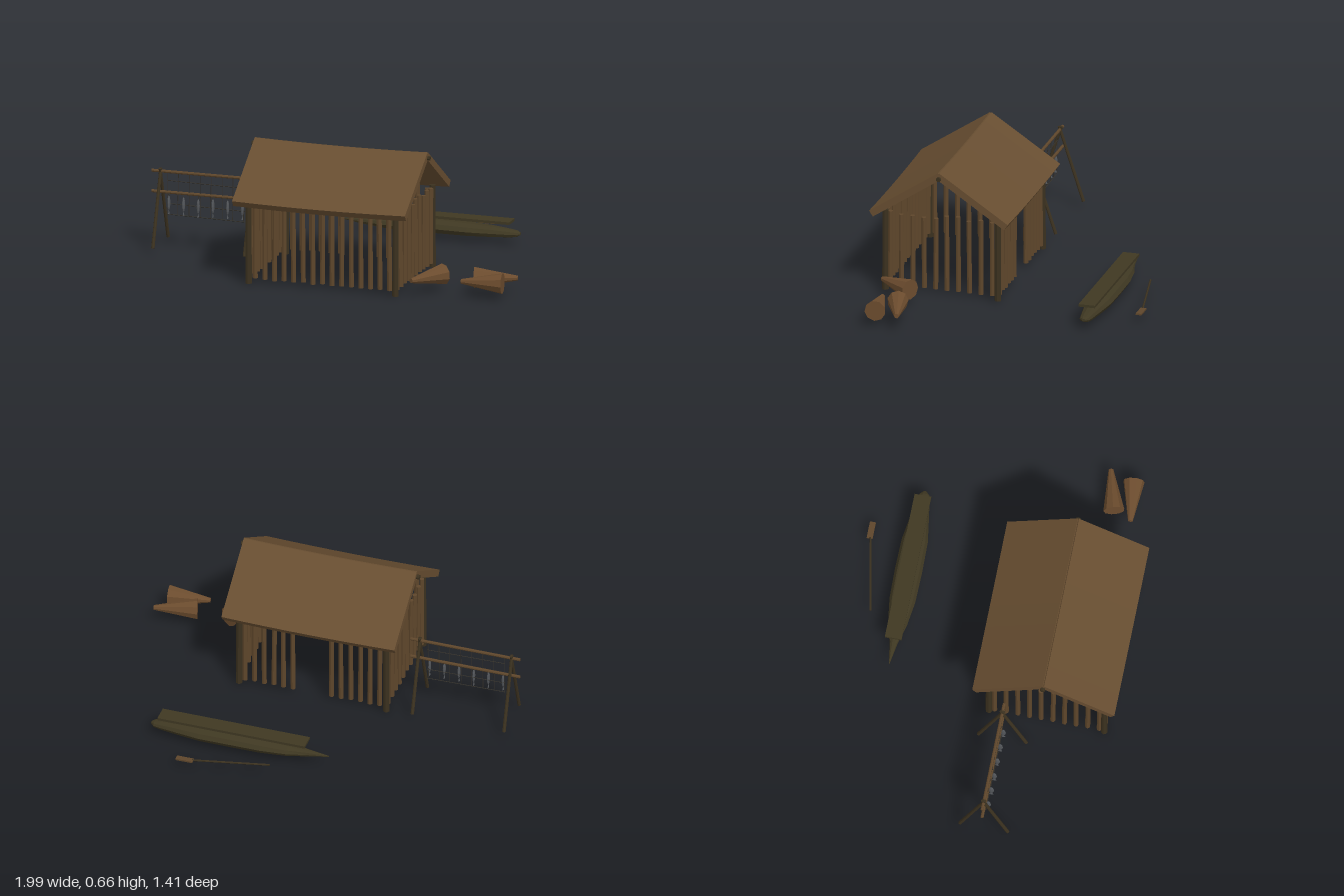
import * as THREE from 'three';

const mat = (name, color) => {
  const m = new THREE.MeshStandardMaterial({ color, flatShading: true });
  m.name = name;
  return m;
};

export function createModel() {
  const model = new THREE.Group();
  model.name = 'fishingHut';
  const thatch = mat('roofBrown', 0x684e31);
  const wood = mat('poleBrown', 0x5e462b);
  const dark = mat('darkWood', 0x3b311f);
  const hullMat = mat('oliveWood', 0x3f3822);
  const wicker = mat('wickerBrown', 0x6c4c2e);
  const cord = mat('netCord', 0x33302a);
  const grey = mat('fishGrey', 0x53565a);

  let seed = 7;
  const jitter = (a) => {
    seed = (seed * 16807) % 2147483647;
    return (seed / 2147483647 - 0.5) * 2 * a;
  };
  const group = (name, parent = model) => {
    const g = new THREE.Group();
    g.name = name;
    parent.add(g);
    return g;
  };
  const add = (parent, name, geo, material) => {
    const m = new THREE.Mesh(geo, material);
    m.name = name;
    parent.add(m);
    return m;
  };
  // Round bar from point a (radius ra) to point b (radius rb)
  const bar = (parent, name, a, b, ra, rb, material, sides = 8) => {
    const p = new THREE.Vector3(...a), q = new THREE.Vector3(...b);
    const d = q.clone().sub(p);
    const m = add(parent, name, new THREE.CylinderGeometry(rb, ra, d.length(), sides), material);
    m.position.copy(p).add(q).multiplyScalar(0.5);
    m.quaternion.setFromUnitVectors(new THREE.Vector3(0, 1, 0), d.normalize());
    return m;
  };

  // Hut: corner posts and walls of separate poles, with a doorway at the back
  const hut = group('hut');
  const X0 = -0.335, X1 = 0.43, Z0 = 0.06, Z1 = 0.64;
  for (const x of [X0, X1])
    for (const z of [Z0, Z1])
      bar(hut, 'cornerPost', [x, 0, z], [x, 0.42, z], 0.017, 0.016, dark);
  const pole = (name, x, z) => {
    const top = 0.41 + jitter(0.012);
    bar(hut, name, [x, 0.027 + jitter(0.004), z],
      [x + jitter(0.004), top, z + jitter(0.004)], 0.013, 0.012, wood);
  };
  for (let i = 0; i < 15; i++) {
    const x = -0.3 + 0.05 * i;
    pole('frontWallPole', x, Z1);
    if (i < 6 || i > 8) pole('backWallPole', x, Z0);
  }
  for (let i = 0; i < 10; i++) {
    const z = 0.615 - 0.0585 * i;
    pole('leftWallPole', X1, z);
    pole('rightWallPole', X0, z);
  }

  // Roof: two sloping slabs that sag slightly towards the middle
  const roof = group('roof');
  for (const s of [1, -1]) {
    const geo = new THREE.BoxGeometry(0.9, 0.035, 0.425, 8, 1, 1);
    geo.rotateX(s * 0.585);
    geo.translate(0.05, 0.533, 0.346 + s * 0.171);
    const p = geo.attributes.position;
    for (let i = 0; i < p.count; i++) {
      const t = (p.getX(i) - 0.05) / 0.45;
      p.setY(i, p.getY(i) - 0.007 * (1 - t * t));
    }
    geo.computeVertexNormals();
    add(roof, s > 0 ? 'frontRoofSlope' : 'backRoofSlope', geo, thatch);
  }
  bar(roof, 'ridgePole', [-0.415, 0.635, 0.344], [0.512, 0.635, 0.344], 0.012, 0.012, dark);

  // Drying rack: two A-frames, two rails, a net and hanging fish
  const rack = group('dryingRack');
  for (const x of [-0.955, -0.478])
    for (const s of [1, -1])
      bar(rack, 'rackLeg', [x, 0.028, 0.155 + s * 0.12],
        [x, 0.41, 0.155 - s * 0.006], 0.009, 0.008, dark);
  for (const y of [0.395, 0.29])
    bar(rack, 'rackRail', [-1, y, 0.155], [-0.43, y, 0.155], 0.008, 0.008, wood);
  const net = group('net', rack);
  for (let i = 0; i < 8; i++) {
    const x = -0.917 + 0.0568 * i;
    bar(net, 'netVertical', [x, 0.39, 0.157], [x + jitter(0.004), 0.175, 0.16], 0.0018, 0.0018, cord, 4);
  }
  for (const y of [0.348, 0.23, 0.175])
    bar(net, 'netHorizontal', [-0.92, y + 0.003, 0.158], [-0.515, y - 0.004, 0.158], 0.0022, 0.0022, cord, 4);
  for (let i = 0; i < 6; i++) {
    const x = -0.907 + 0.0765 * i, y = 0.237 + jitter(0.005);
    const fish = group('fish', rack);
    const body = add(fish, 'fishBody', new THREE.SphereGeometry(1, 8, 6), grey);
    body.scale.set(0.007, 0.038, 0.014);
    body.position.set(x, y, 0.168);
    const tail = add(fish, 'fishTail', new THREE.ConeGeometry(0.012, 0.022, 4), grey);
    tail.scale.x = 0.35;
    tail.position.set(x, y - 0.044, 0.168);
    bar(fish, 'fishString', [x, 0.29, 0.16], [x, y + 0.035, 0.168], 0.0018, 0.0018, cord, 4);
  }

  // Canoe: lofted hull, stations are [x, half width, bottom y, top y]
  const canoe = group('canoe');
  const stations = [
    [-0.21, 0.002, 0.052, 0.058], [-0.1, 0.02, 0.037, 0.07], [0, 0.047, 0.03, 0.08],
    [0.13, 0.065, 0.028, 0.092], [0.29, 0.068, 0.028, 0.097], [0.45, 0.065, 0.028, 0.092],
    [0.57, 0.047, 0.03, 0.085], [0.665, 0.032, 0.035, 0.075], [0.695, 0.026, 0.04, 0.07],
    [0.712, 0.009, 0.048, 0.062],
  ];
  const n = stations.length - 1;
  const hull = new THREE.CylinderGeometry(1, 1, n, 10, n);
  hull.rotateZ(-Math.PI / 2);
  const hp = hull.attributes.position;
  for (let i = 0; i < hp.count; i++) {
    const [x, w, lo, hi] = stations[Math.round(hp.getX(i) + n / 2)];
    const k = Math.max(hp.getY(i), -0.8); // flattened underside
    hp.setXYZ(i, x, lo + (hi - lo) * (k + 0.8) / 1.8, -0.467 + w * hp.getZ(i));
  }
  hull.computeVertexNormals();
  add(canoe, 'canoeHull', hull, hullMat);
  add(canoe, 'canoeDeckPlank', new THREE.BoxGeometry(0.765, 0.013, 0.084), hullMat)
    .position.set(0.285, 0.113, -0.469);

  // Paddle lying behind the canoe
  const paddle = group('paddle');
  bar(paddle, 'paddleShaft', [0.05, 0.044, -0.613], [0.43, 0.038, -0.687], 0.005, 0.005, dark, 6);
  add(paddle, 'paddleBlade', new THREE.BoxGeometry(0.087, 0.008, 0.03), wood)
    .position.set(0.467, 0.037, -0.69);

  // Conical fish traps: [wide x, wide z, narrow x, narrow z]
  for (const [ax, az, bx, bz] of [
    [0.618, 0.457, 0.508, 0.632], [0.783, 0.47, 0.992, 0.414], [0.953, 0.537, 0.745, 0.56],
  ])
    bar(model, 'fishTrap', [ax, 0.082, az], [bx, 0.082, bz], 0.053, 0.012, wicker, 9);

  return model;
}
